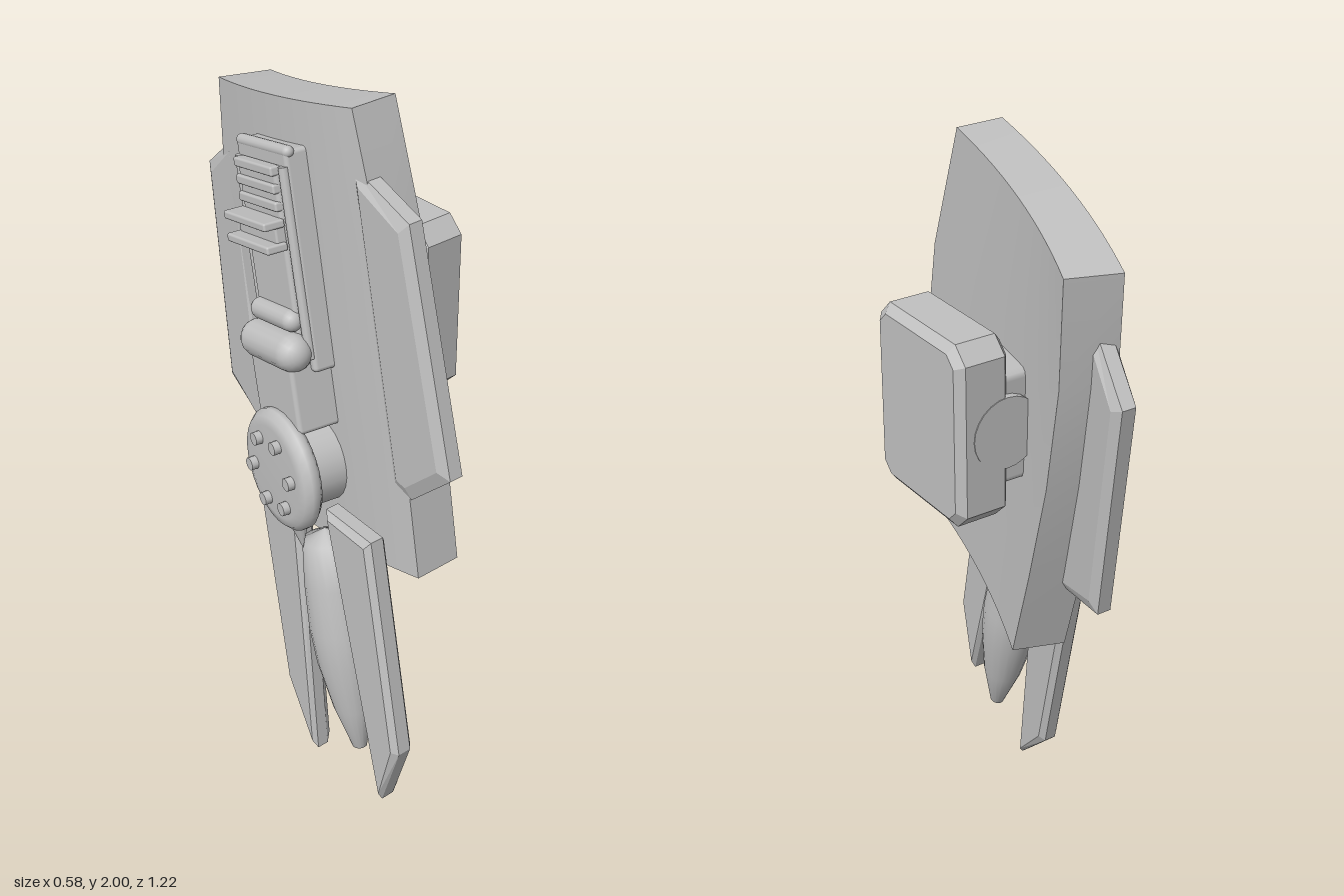
import * as THREE from 'three';
import { RoundedBoxGeometry } from 'three/addons/geometries/RoundedBoxGeometry.js';

export function createModel() {
  const root = new THREE.Group();
  root.name = 'armourPanel';
  const grey = new THREE.MeshStandardMaterial({ color: 0xc0c0c0 });
  grey.name = 'plain grey';

  const add = (name, geometry, parent = root, x = 0, y = 0, z = 0) => {
    const mesh = new THREE.Mesh(geometry, grey);
    mesh.name = name;
    mesh.position.set(x, y, z);
    parent.add(mesh);
    return mesh;
  };

  // Bevelled slab from a [z, y] outline; inner(z) is the x of its +x face
  const slab = (outline, inner, thickness, bevel, bevelDepth) => {
    const shape = new THREE.Shape(outline.map(([z, y]) => new THREE.Vector2(z, y)));
    const g = new THREE.ExtrudeGeometry(shape, {
      depth: thickness - 2 * bevelDepth, bevelEnabled: true, bevelSegments: 1,
      bevelSize: bevel, bevelOffset: -bevel, bevelThickness: bevelDepth,
    });
    const p = g.attributes.position;
    for (let i = 0; i < p.count; i++) {
      const z = p.getX(i), y = p.getY(i), d = p.getZ(i) + bevelDepth;
      p.setXYZ(i, inner(z) - d, y, z);
    }
    g.computeVertexNormals();
    return g;
  };

  // Curved main panel: a box bent between its front and back edge lines
  const frontEdge = [[0.025, 2, 0.17], [0.01, 1.64, 0.31], [0, 1.37, 0.37], [-0.01, 1.1, 0.43], [-0.02, 0.83, 0.49]];
  const backEdge = [[0.14, 1.84, -0.45], [0.13, 1.54, -0.425], [0.12, 1.24, -0.365], [0.11, 0.94, -0.28], [0.1, 0.65, -0.19]];
  const panel = new THREE.BoxGeometry(1, 1, 1, 1, 4, 14);
  const pp = panel.attributes.position;
  for (let i = 0; i < pp.count; i++) {
    const row = Math.round((0.5 - pp.getY(i)) * 4);
    const u = 0.5 - pp.getZ(i), out = 0.5 - pp.getX(i);
    const [x, y, z] = frontEdge[row].map((a, k) => a + (backEdge[row][k] - a) * u);
    pp.setXYZ(i, x - 0.12 * u * (1 - u) - out * 0.137, y, z - out * 0.05 * u);
  }
  panel.computeVertexNormals();
  add('mainPanel', panel);

  // Side flaps and lower fins
  add('frontFlap', slab([[0.17, 1.85], [0.41, 1.8], [0.61, 1.2], [0.45, 1.05], [0.37, 1.05]],
    z => -0.06 - 0.16 * (z - 0.23), 0.07, 0.035, 0.015));
  add('rearFlap', slab([[-0.42, 1.70], [-0.605, 1.55], [-0.5, 0.92], [-0.24, 0.855]],
    z => 0.06 - 0.25 * (z + 0.47), 0.07, 0.035, 0.015));
  add('frontFin', slab([[0.39, 0.92], [0.535, 0.31], [0.46, 0.09], [0.18, 0.9]],
    z => -0.15 - 0.14 * (z - 0.2), 0.07, 0.02, 0.015));
  add('rearFin', slab([[0.015, 0.84], [0.115, 0], [-0.05, 0.16], [-0.22, 0.81]],
    z => -0.11 - 0.2 * (z - 0.01), 0.065, 0.02, 0.015));

  // Tapered pod between the fins
  const podProfile = [[0, -0.36], [0.022, -0.355], [0.06, -0.22], [0.086, -0.07], [0.092, 0.04],
    [0.085, 0.18], [0.07, 0.31], [0, 0.34]].map(([r, y]) => new THREE.Vector2(r, y));
  const pod = add('pod', new THREE.LatheGeometry(podProfile, 20), root, -0.155, 0.45, 0.19);
  pod.rotation.x = -0.22;
  pod.scale.x = 0.9;

  // Arm pad with its mount on the inner side
  const c = 0.045, z0 = -0.217, z1 = 0.178, y0 = 1.085, y1 = 1.598;
  add('pad', slab([[z0 + c, y0], [z1 - c, y0], [z1, y0 + c], [z1, y1 - c], [z1 - c, y1], [z0 + c, y1],
    [z0, y1 - c], [z0, y0 + c]], () => 0.277, 0.155, 0.025, 0.02));
  add('padMount', new RoundedBoxGeometry(0.15, 0.31, 0.34, 1, 0.02), root, 0.095, 1.335, -0.03);
  const pivot = add('padPivot', new THREE.CylinderGeometry(0.1, 0.1, 0.385, 24), root, 0.135, 1.34, -0.027);
  pivot.rotation.x = Math.PI / 2;

  // Outer equipment, laid along the slope of the panel
  const gear = new THREE.Group();
  gear.name = 'outerEquipment';
  gear.position.set(-0.1, 1.5, -0.06);
  gear.rotation.set(-0.24, -0.16, -0.03);
  root.add(gear);
  const block = (name, x, y, w, h, d, r = 0.012) =>
    add(name, new RoundedBoxGeometry(w, h, d, 2, r), gear, x, y, 0);
  const roll = (name, x, y, r, length) => {
    add(name, new THREE.CapsuleGeometry(r, length - 2 * r, 6, 16), gear, x, y, 0).rotation.x = Math.PI / 2;
  };

  block('backingPlate', -0.015, 0.03, 0.08, 0.58, 0.26);
  block('raisedPlate', -0.045, 0.02, 0.06, 0.5, 0.2);
  for (const y of [0.27, 0.225, 0.18]) block('rib', -0.07, y, 0.03, 0.025, 0.2, 0.006);
  for (const y of [0.14, 0.08]) block('bracketRail', -0.1, y, 0.06, 0.022, 0.22, 0.006);
  block('bracketBase', -0.08, 0.11, 0.03, 0.06, 0.2, 0.006);
  for (const z of [-0.115, 0.115]) {
    add('sideRail', new THREE.CylinderGeometry(0.014, 0.014, 0.5, 10), gear, -0.055, 0.03, z);
  }
  roll('topRod', -0.04, 0.315, 0.016, 0.27);
  roll('smallRoll', -0.075, -0.12, 0.03, 0.22);
  roll('largeRoll', -0.09, -0.2, 0.052, 0.28);
  block('lowerBlock', -0.05, -0.32, 0.13, 0.2, 0.22);

  // Round cover with a ring of bolts and a small spur below it
  const coverProfile = [[0, 0], [0.155, 0], [0.17, 0.015], [0.17, 0.035], [0.155, 0.052], [0.13, 0.058], [0, 0.058]]
    .map(([r, y]) => new THREE.Vector2(r, y));
  const cover = new THREE.Group();
  cover.name = 'cover';
  cover.position.set(-0.095, -0.54, 0);
  cover.rotation.z = Math.PI / 2;
  gear.add(cover);
  add('coverDisc', new THREE.LatheGeometry(coverProfile, 32), cover);
  add('coverHub', new THREE.CylinderGeometry(0.12, 0.12, 0.1, 24), cover, 0, -0.045, 0);
  for (let i = 0; i < 6; i++) {
    const a = (i + 0.5) * Math.PI / 3;
    add('bolt', new THREE.CylinderGeometry(0.018, 0.018, 0.024, 12), cover, Math.cos(a) * 0.1, 0.066, Math.sin(a) * 0.1);
  }
  add('spur', new THREE.ConeGeometry(0.035, 0.1, 10), gear, -0.1, -0.73, 0).rotation.x = Math.PI;

  return root;
}
